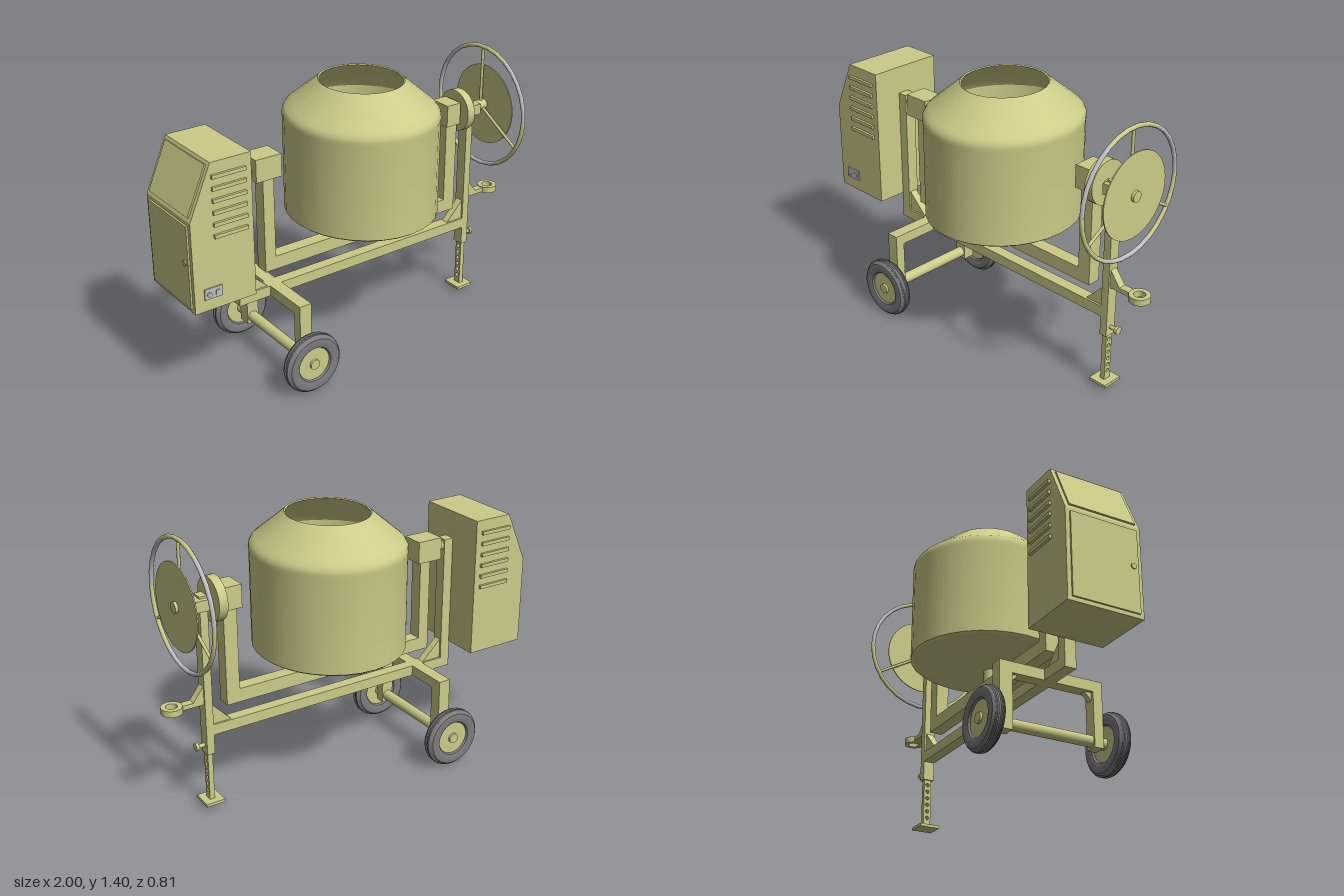
import * as THREE from 'three';
import { toCreasedNormals } from 'three/addons/utils/BufferGeometryUtils.js';

export function createModel() {
  const model = new THREE.Group();
  model.name = 'concreteMixer';
  const material = (name, color) => {
    const m = new THREE.MeshStandardMaterial({ color });
    m.name = name;
    return m;
  };
  const paint = material('khakiPaint', 0xcccb88);
  const rubber = material('greyRubber', 0x7c7c7e);
  const metal = material('lightMetal', 0xc0c0c4);

  const add = (name, geo, mat = paint, parent = model) => {
    const mesh = new THREE.Mesh(geo, mat);
    mesh.name = name;
    parent.add(mesh);
    return mesh;
  };
  // Box given by its limits on each axis
  const box = (name, x0, x1, y0, y1, z0, z1, mat) => {
    const m = add(name, new THREE.BoxGeometry(x1 - x0, y1 - y0, z1 - z0), mat);
    m.position.set((x0 + x1) / 2, (y0 + y1) / 2, (z0 + z1) / 2);
    return m;
  };
  // Cylinder between two points
  const rod = (name, a, b, r, mat = paint, sides = 24) => {
    const p = new THREE.Vector3(...a), q = new THREE.Vector3(...b);
    const d = q.clone().sub(p);
    const m = add(name, new THREE.CylinderGeometry(r, r, d.length(), sides), mat);
    m.position.copy(p).add(q).multiplyScalar(0.5);
    m.quaternion.setFromUnitVectors(new THREE.Vector3(0, 1, 0), d.normalize());
    return m;
  };
  const outline = pts => new THREE.Shape(pts.map(p => new THREE.Vector2(...p)));
  const extrude = (shape, depth) =>
    new THREE.ExtrudeGeometry(shape, { depth, bevelEnabled: false, curveSegments: 20 });
  // Side profile in x and y, extruded from z0 to z1
  const slab = (name, pts, z0, z1) =>
    add(name, extrude(outline(pts), z1 - z0).translate(0, 0, z0));
  const lathe = (pts, sides) => toCreasedNormals(
    new THREE.LatheGeometry(pts.map(p => new THREE.Vector2(...p)), sides), 0.5);

  // Drum, slightly wider front to back, with an open mouth and inner wall
  const drum = add('drum', lathe([
    [0, 0.67], [0.2, 0.683], [0.365, 0.71], [0.375, 0.718], [0.375, 1.2], [0.377, 1.215],
    [0.375, 1.235], [0.365, 1.252], [0.345, 1.27], [0.212, 1.385], [0.205, 1.392], [0.198, 1.388],
    [0.335, 1.26], [0.36, 1.22], [0.36, 0.725], [0.2, 0.7], [0, 0.69],
  ], 32));
  drum.position.x = 0.08;
  drum.scale.z = 1.08;
  rod('drumPivot', [0.075, 0.6, 0], [0.075, 0.69, 0], 0.032);

  // Tilting yoke that carries the drum
  slab('yoke', [
    [-0.515, 0.54], [0.675, 0.54], [0.675, 1.08], [0.605, 1.08],
    [0.605, 0.61], [-0.455, 0.61], [-0.455, 1.08], [-0.515, 1.08],
  ], -0.035, 0.035);
  box('rightBearingBlock', -0.565, -0.425, 1.035, 1.15, -0.06, 0.06);
  box('leftBearingBlock', 0.588, 0.675, 1.035, 1.15, -0.06, 0.06);
  rod('rightTrunnion', [-0.62, 1.085, 0], [-0.55, 1.085, 0], 0.025);
  rod('yokeFlange', [0.685, 1.088, 0], [0.73, 1.088, 0], 0.11, paint, 32);
  box('postBearing', 0.745, 0.82, 1.055, 1.11, -0.055, 0.055);

  // Main frame
  box('rightPost', -0.665, -0.61, 0.4, 1.12, -0.03, 0.03);
  box('leftPost', 0.75, 0.79, 0.3, 1.12, -0.03, 0.03);
  box('mainBeam', -0.61, 0.75, 0.4, 0.455, -0.03, 0.03);
  slab('rightGusset', [[-0.61, 0.455], [-0.5, 0.455], [-0.61, 0.56]], -0.02, 0.02);
  slab('leftGusset', [[0.75, 0.455], [0.75, 0.56], [0.65, 0.455]], -0.02, 0.02);

  // Axle frame and wheels
  box('axleCrossbar', -0.49, -0.425, 0.4, 0.455, -0.265, 0.285);
  box('frontAxleLeg', -0.49, -0.425, 0.125, 0.4, 0.235, 0.285);
  box('backAxleLeg', -0.49, -0.425, 0.125, 0.4, -0.265, -0.198);
  [[0.235, -1], [-0.198, 1]].forEach(([z, s]) => {
    const brace = extrude(outline([[0, 0], [0.037, 0], [0, -0.04]]), 0.03);
    const m = add('axleGusset', brace);
    m.rotation.y = -s * Math.PI / 2;
    m.position.set(-0.457 + s * 0.015, 0.4, z);
  });
  rod('axle', [-0.457, 0.162, -0.33], [-0.457, 0.162, 0.33], 0.028);

  const tyreProfile = [
    [0.085, -0.018], [0.092, -0.03], [0.115, -0.037], [0.138, -0.033], [0.149, -0.022],
    [0.146, -0.019], [0.153, -0.015], [0.155, -0.008], [0.149, -0.004], [0.149, 0.004],
    [0.155, 0.008], [0.153, 0.015], [0.146, 0.019], [0.149, 0.022], [0.138, 0.033],
    [0.115, 0.037], [0.092, 0.03], [0.085, 0.018], [0.085, -0.018],
  ];
  for (const z of [0.33, -0.327]) {
    const tyre = add('tyre', lathe(tyreProfile, 40), rubber);
    tyre.rotation.x = Math.PI / 2;
    tyre.position.set(-0.457, 0.162, z);
    rod('wheelDisc', [-0.457, 0.162, z - 0.02], [-0.457, 0.162, z + 0.02], 0.09, paint, 40);
    rod('wheelHub', [-0.457, 0.162, z - 0.032], [-0.457, 0.162, z + 0.032], 0.026);
  }

  // Adjustable leg with locking holes, foot and pin
  const legShape = outline([[-0.02, 0.04], [0.02, 0.04], [0.02, 0.32], [-0.02, 0.32]]);
  for (let i = 0; i < 6; i++) {
    const hole = new THREE.Path();
    hole.absarc(0, 0.09 + i * 0.0365, 0.01, 0, Math.PI * 2, true);
    legShape.holes.push(hole);
  }
  add('adjustableLeg', extrude(legShape, 0.026).rotateY(Math.PI / 2).translate(0.759, 0, 0));
  box('foot', 0.72, 0.82, 0.03, 0.045, -0.055, 0.055);
  rod('lockingPin', [0.78, 0.345, 0], [0.83, 0.345, 0], 0.01);
  rod('lockingKnob', [0.825, 0.345, 0], [0.84, 0.345, 0], 0.02);

  // Towing bracket and eye
  slab('towBracket', [
    [0.79, 0.57], [0.91, 0.57], [0.91, 0.593], [0.845, 0.593], [0.79, 0.665],
  ], -0.02, 0.02);
  const eye = new THREE.Shape().absarc(0, 0, 0.052, 0, Math.PI * 2);
  eye.holes.push(new THREE.Path().absarc(0, 0, 0.028, 0, Math.PI * 2, true));
  const eyeMesh = add('towEye', toCreasedNormals(extrude(eye, 0.032), 0.5));
  eyeMesh.rotation.x = -Math.PI / 2;
  eyeMesh.position.set(0.948, 0.565, 0);

  // Tilting handwheel: ring with alternating grips, spokes and disc
  const wy = 1.082, wz = 0.007, wx = 0.862, ringR = 0.32;
  for (let i = 0; i < 6; i++) {
    const arc = new THREE.TorusGeometry(ringR, 0.011, 10, 5, Math.PI / 3);
    arc.rotateZ(i * Math.PI / 3).rotateY(Math.PI / 2);
    const m = add(i % 2 ? 'handwheelRim' : 'handwheelGrip', arc, i % 2 ? paint : metal);
    m.position.set(wx, wy, wz);
  }
  for (let i = 0; i < 3; i++) {
    const a = Math.PI / 2 + i * Math.PI * 2 / 3;
    rod('handwheelSpoke', [wx, wy, wz],
      [wx, wy + ringR * Math.sin(a), wz + ringR * Math.cos(a)], 0.008, paint, 10);
  }
  rod('handwheelDisc', [0.885, wy, wz], [0.891, wy, wz], 0.213, paint, 48);
  rod('handwheelShaft', [0.66, wy, wz], [0.905, wy, wz], 0.027);

  // Motor housing with sloped top corner
  slab('motorHousing', [
    [-0.985, 0.54], [-0.662, 0.54], [-0.662, 1.262], [-0.87, 1.262], [-0.985, 1.0],
  ], -0.217, 0.18);
  box('housingDoor', -0.994, -0.985, 0.56, 0.98, -0.195, 0.158);
  rod('doorKnob', [-1, 0.79, 0.13], [-0.985, 0.79, 0.13], 0.014);
  const cover = add('slopedCover', new THREE.BoxGeometry(0.009, 0.25, 0.353));
  cover.position.set(-0.9305, 1.133, -0.0185);
  cover.rotation.z = -Math.atan2(0.115, 0.262);

  // Cooling louvers on both sides
  for (let i = 0; i < 6; i++) {
    const y = 0.905 + i * 0.058;
    for (const z of [0.18, -0.217]) {
      box('louver', -0.87, -0.695, y - 0.009, y + 0.009, z - 0.013, z + 0.013);
    }
  }

  // Switch plate
  box('switchPlate', -0.935, -0.842, 0.6, 0.655, 0.18, 0.186, metal);
  rod('switchDial', [-0.912, 0.625, 0.18], [-0.912, 0.625, 0.194], 0.012, metal);
  box('switchButton', -0.878, -0.858, 0.612, 0.638, 0.18, 0.19, metal);

  return model;
}
